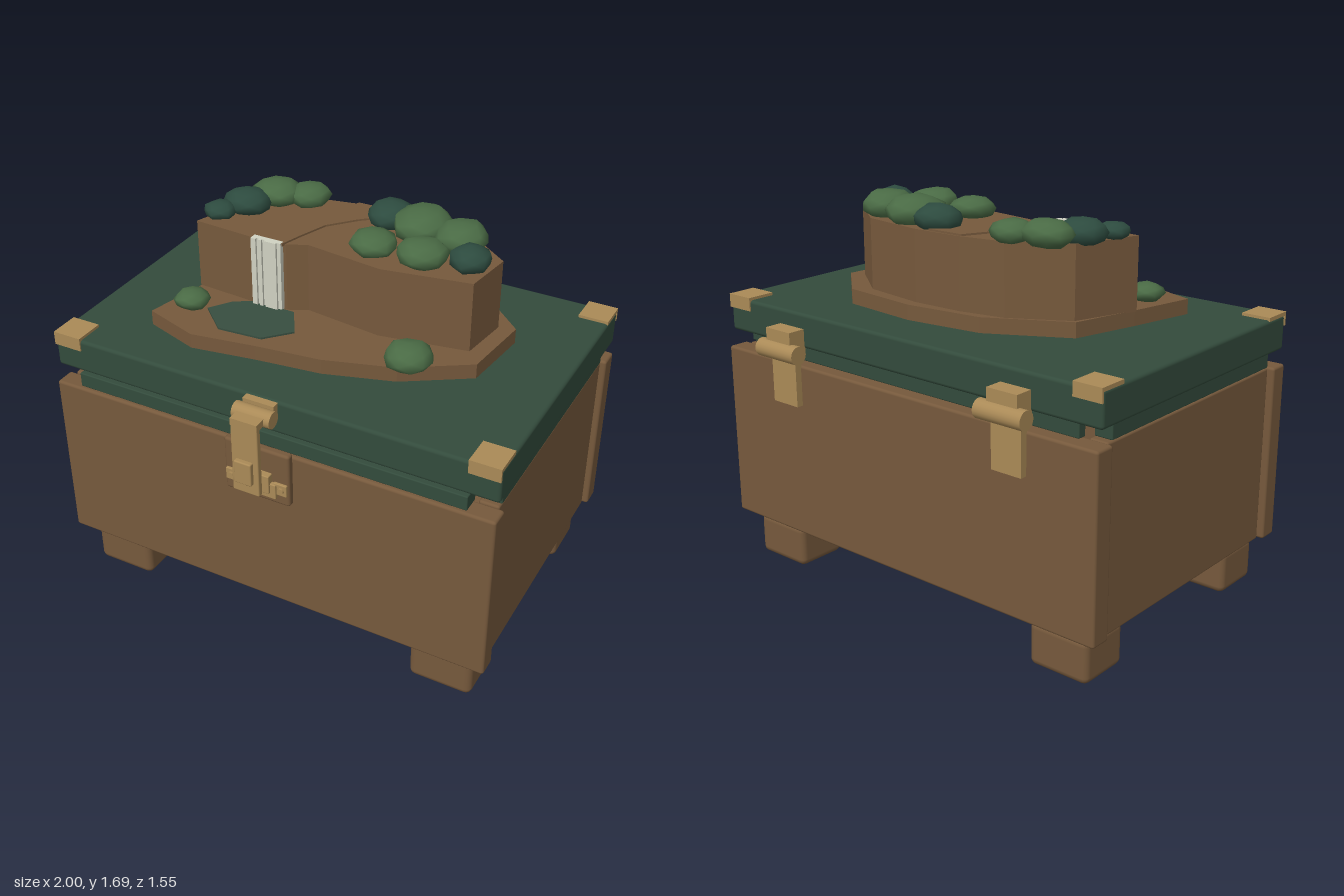
import * as THREE from 'three';
import { mergeVertices } from 'three/addons/utils/BufferGeometryUtils.js';
import { RoundedBoxGeometry } from 'three/addons/geometries/RoundedBoxGeometry.js';

const paint = (name, color) => Object.assign(new THREE.MeshStandardMaterial({ color }), { name });

export function createModel() {
  const model = new THREE.Group();
  const wood = paint('wood brown', 0x76593c);
  const lidGreen = paint('lid green', 0x334b3c);
  const brass = paint('brass', 0xaa8a57);
  const poolGreen = paint('pool green', 0x384e40);
  const foam = paint('waterfall white', 0xd0d2c2);
  const leaf = paint('leaf green', 0x4a6b45);
  const darkLeaf = paint('dark leaf green', 0x2d4b3f);

  const add = (name, geometry, material, x = 0, y = 0, z = 0) => {
    const mesh = new THREE.Mesh(geometry, material);
    mesh.name = name;
    mesh.position.set(x, y, z);
    model.add(mesh);
    return mesh;
  };
  // box given by its limits on each axis, optionally with rounded edges
  const block = (name, material, [x0, x1], [y0, y1], [z0, z1], r = 0) => {
    const size = [x1 - x0, y1 - y0, z1 - z0];
    const geo = r ? new RoundedBoxGeometry(...size, 2, r) : new THREE.BoxGeometry(...size);
    return add(name, geo, material, (x0 + x1) / 2, (y0 + y1) / 2, (z0 + z1) / 2);
  };
  const rod = (name, x, y, z, r, length) => {
    const mesh = add(name, new THREE.CylinderGeometry(r, r, length, 20), brass, x, y, z);
    mesh.rotation.z = Math.PI / 2;
  };
  const mirror = (s, a, b) => (s > 0 ? [a, b] : [-b, -a]);
  // flat slab from an x,z outline
  const slab = (name, material, points, y0, y1) => {
    const shape = new THREE.Shape(points.map(([x, z]) => new THREE.Vector2(x, -z)));
    const geo = new THREE.ExtrudeGeometry(shape, { depth: y1 - y0, bevelEnabled: false });
    return add(name, geo.rotateX(-Math.PI / 2), material, 0, y0, 0);
  };

  // chest body
  block('frontPanel', wood, [-1, 1], [0.21, 0.99], [0.55, 0.64], 0.012);
  block('backPanel', wood, [-1, 1], [0.21, 0.99], [-0.69, -0.595], 0.012);
  block('floor', wood, [-0.92, 0.92], [0.175, 0.23], [-0.59, 0.54]);
  for (const s of [1, -1]) {
    block('sidePanel', wood, mirror(s, 0.89, 0.975), [0.21, 0.99], [-0.595, 0.545], 0.01);
    block('frontFoot', wood, mirror(s, 0.65, 0.93), [0, 0.19], [0.345, 0.585], 0.03);
    block('backFoot', wood, mirror(s, 0.65, 0.93), [0, 0.19], [-0.635, -0.395], 0.03);
  }

  // lid with its lip
  block('lid', lidGreen, [-1, 1], [1.06, 1.21], [-0.665, 0.615], 0.015);
  block('frontLip', lidGreen, [-0.88, 0.88], [0.995, 1.06], [0.55, 0.63], 0.005);
  block('backLip', lidGreen, [-0.88, 0.88], [0.995, 1.06], [-0.64, -0.6], 0.005);
  for (const s of [1, -1]) {
    block('sideLip', lidGreen, mirror(s, 0.9, 0.98), [0.995, 1.06], [-0.575, 0.53], 0.005);
    // corner plates with flaps folded over front and back
    block('frontCornerPlate', brass, mirror(s, 0.87, 1), [1.205, 1.222], [0.487, 0.62]);
    block('frontCornerFlap', brass, mirror(s, 0.87, 1), [1.163, 1.222], [0.612, 0.621]);
    block('backCornerPlate', brass, mirror(s, 0.87, 1), [1.205, 1.222], [-0.67, -0.54]);
    block('backCornerFlap', brass, mirror(s, 0.87, 1), [1.163, 1.222], [-0.671, -0.662]);
    // hinges
    rod('hingePin', s * 0.605, 1.053, -0.737, 0.04, 0.225);
    block('hingeUpperLeaf', brass, mirror(s, 0.535, 0.68), [1.05, 1.145], [-0.745, -0.66]);
    block('hingeLowerLeaf', brass, mirror(s, 0.535, 0.68), [0.815, 1.05], [-0.72, -0.688]);
  }

  // latch
  block('latchBacking', wood, [-0.15, 0.147], [0.76, 1.008], [0.635, 0.672], 0.012);
  block('latchBase', brass, [-0.095, 0.095], [0.795, 0.865], [0.67, 0.692], 0.004);
  block('latchCatch', brass, [-0.07, 0.07], [0.82, 0.905], [0.67, 0.702], 0.004);
  block('latchMount', brass, [-0.07, 0.07], [1.14, 1.205], [0.61, 0.645]);
  rod('latchPin', 0, 1.165, 0.673, 0.036, 0.17);
  block('latchArm', brass, [-0.06, 0.06], [1.15, 1.182], [0.69, 0.757]);
  block('latchStrap', brass, [-0.06, 0.06], [0.84, 1.182], [0.73, 0.757], 0.006);
  block('latchGrip', brass, [-0.04, 0.037], [0.895, 1.0], [0.75, 0.777], 0.006);
  for (const s of [1, -1]) {
    block('latchEar', brass, mirror(s, 0.08, 0.14), [0.815, 0.87], [0.67, 0.684], 0.004);
    const screw = add('latchScrew', new THREE.CylinderGeometry(0.014, 0.014, 0.02, 12), brass, s * 0.115, 0.842, 0.682);
    screw.rotation.x = Math.PI / 2;
  }

  // landscape
  slab('groundLedge', wood, [[-0.685, 0.36], [-0.44, 0.44], [-0.165, 0.395], [0.12, 0.36], [0.41, 0.27],
    [0.675, 0.1], [0.71, -0.22], [0.5, -0.415], [0.14, -0.45], [-0.21, -0.405], [-0.545, -0.22], [-0.62, 0.07]], 1.205, 1.275);
  slab('cliff', wood, [[-0.625, 0.075], [-0.33, 0.095], [-0.19, 0.085], [-0.11, 0.045], [0.235, 0.09], [0.61, 0.025],
    [0.64, -0.2], [0.43, -0.36], [0.14, -0.4], [-0.09, -0.39], [-0.29, -0.35], [-0.53, -0.21]], 1.27, 1.58);
  slab('riverBed', wood, [[-0.335, 0.1], [-0.2, 0.1], [-0.17, 0], [-0.125, -0.13], [-0.03, -0.24], [0.09, -0.345],
    [0.07, -0.39], [-0.1, -0.385], [-0.15, -0.28], [-0.25, -0.17], [-0.31, -0.04]], 1.575, 1.588);
  slab('pool', poolGreen, [[-0.485, 0.24], [-0.42, 0.145], [-0.34, 0.1], [-0.15, 0.1], [-0.07, 0.235],
    [-0.165, 0.34], [-0.36, 0.355]], 1.274, 1.283);

  // waterfall with vertical ridges
  block('waterfall', foam, [-0.338, -0.203], [1.28, 1.59], [0.085, 0.108]);
  for (const [a, b] of [[-0.338, -0.315], [-0.303, -0.288], [-0.276, -0.22]]) {
    block('waterfallRidge', foam, [a, b], [1.28, 1.59], [0.1, 0.118]);
  }

  // lumpy bush: icosphere with each corner pushed by a small rule
  const bushShape = (seed) => {
    const geo = new THREE.IcosahedronGeometry(1, 1);
    geo.deleteAttribute('normal');
    geo.deleteAttribute('uv');
    const merged = mergeVertices(geo, 1e-3);
    const p = merged.attributes.position;
    for (let i = 0; i < p.count; i++) {
      const n = Math.sin((i + 1) * 12.9898 + seed * 78.233) * 43758.5453;
      const k = 0.92 + 0.14 * (n - Math.floor(n));
      p.setXYZ(i, p.getX(i) * k, p.getY(i) * k, p.getZ(i) * k);
    }
    merged.computeVertexNormals();
    return merged;
  };
  // x, y, z, width radius, height radius, depth radius, dark
  const bushes = [
    [-0.5, 1.612, -0.13, 0.105, 0.06, 0.095, 1], [-0.43, 1.617, -0.26, 0.118, 0.06, 0.1, 0],
    [-0.295, 1.615, -0.305, 0.092, 0.052, 0.092, 0], [-0.567, 1.607, -0.015, 0.07, 0.038, 0.068, 1],
    [0.095, 1.615, -0.3, 0.105, 0.06, 0.1, 1], [0.255, 1.623, -0.27, 0.125, 0.07, 0.138, 0],
    [0.437, 1.62, -0.245, 0.115, 0.067, 0.118, 0], [0.54, 1.612, -0.1, 0.088, 0.058, 0.09, 1],
    [0.142, 1.613, -0.04, 0.1, 0.052, 0.1, 0], [0.357, 1.618, -0.045, 0.108, 0.058, 0.105, 0],
    [-0.56, 1.308, 0.24, 0.075, 0.042, 0.075, 0], [0.435, 1.31, 0.222, 0.102, 0.063, 0.1, 0],
  ];
  bushes.forEach(([x, y, z, rx, ry, rz, dark], i) => {
    add('bush', bushShape(i + 1), dark ? darkLeaf : leaf, x, y, z).scale.set(rx, ry, rz);
  });

  return model;
}
